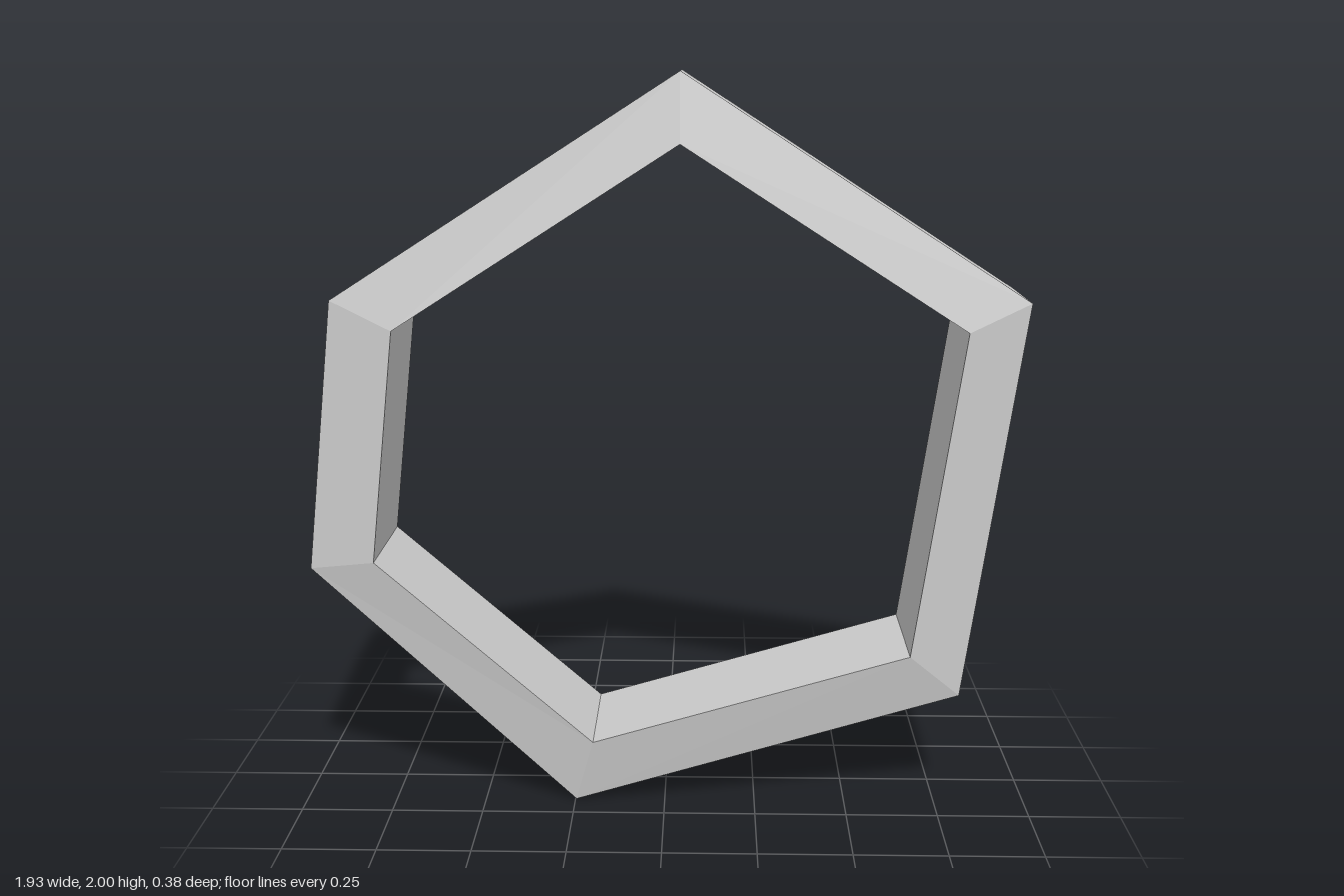
import * as THREE from 'three';

// Corners of the irregular hexagon, clockwise seen from the front: [outer x, outer y, inner x, inner y]
const corners = [
  [0.04, 2.0, 0.04, 1.815],
  [0.966, 1.402, 0.8, 1.327],
  [0.81, 0.315, 0.67, 0.435],
  [-0.247, 0, -0.198, 0.18],
  [-0.968, 0.667, -0.79, 0.692],
  [-0.89, 1.404, -0.722, 1.327],
];
const outerZ = 0.16; // half depth at the outer wall
const innerZ = 0.19; // half depth at the inner wall

export function createModel() {
  const group = new THREE.Group();
  group.name = 'hexagonalRing';

  // Four-sided cross-section at each corner
  const sections = corners.map(([ox, oy, ix, iy]) => [
    [ox, oy, outerZ],
    [ox, oy, -outerZ],
    [ix, iy, -innerZ],
    [ix, iy, innerZ],
  ]);

  // Join neighbouring sections with flat quads
  const positions = [];
  sections.forEach((s, i) => {
    const t = sections[(i + 1) % sections.length];
    for (let k = 0; k < 4; k++) {
      const n = (k + 1) % 4;
      positions.push(...s[k], ...t[k], ...t[n], ...s[k], ...t[n], ...s[n]);
    }
  });

  const geometry = new THREE.BufferGeometry();
  geometry.setAttribute('position', new THREE.Float32BufferAttribute(positions, 3));
  geometry.computeVertexNormals();

  const ring = new THREE.Mesh(
    geometry,
    new THREE.MeshStandardMaterial({ color: 0xcccccc, flatShading: true })
  );
  ring.name = 'ringFrame';
  group.add(ring);
  return group;
}
